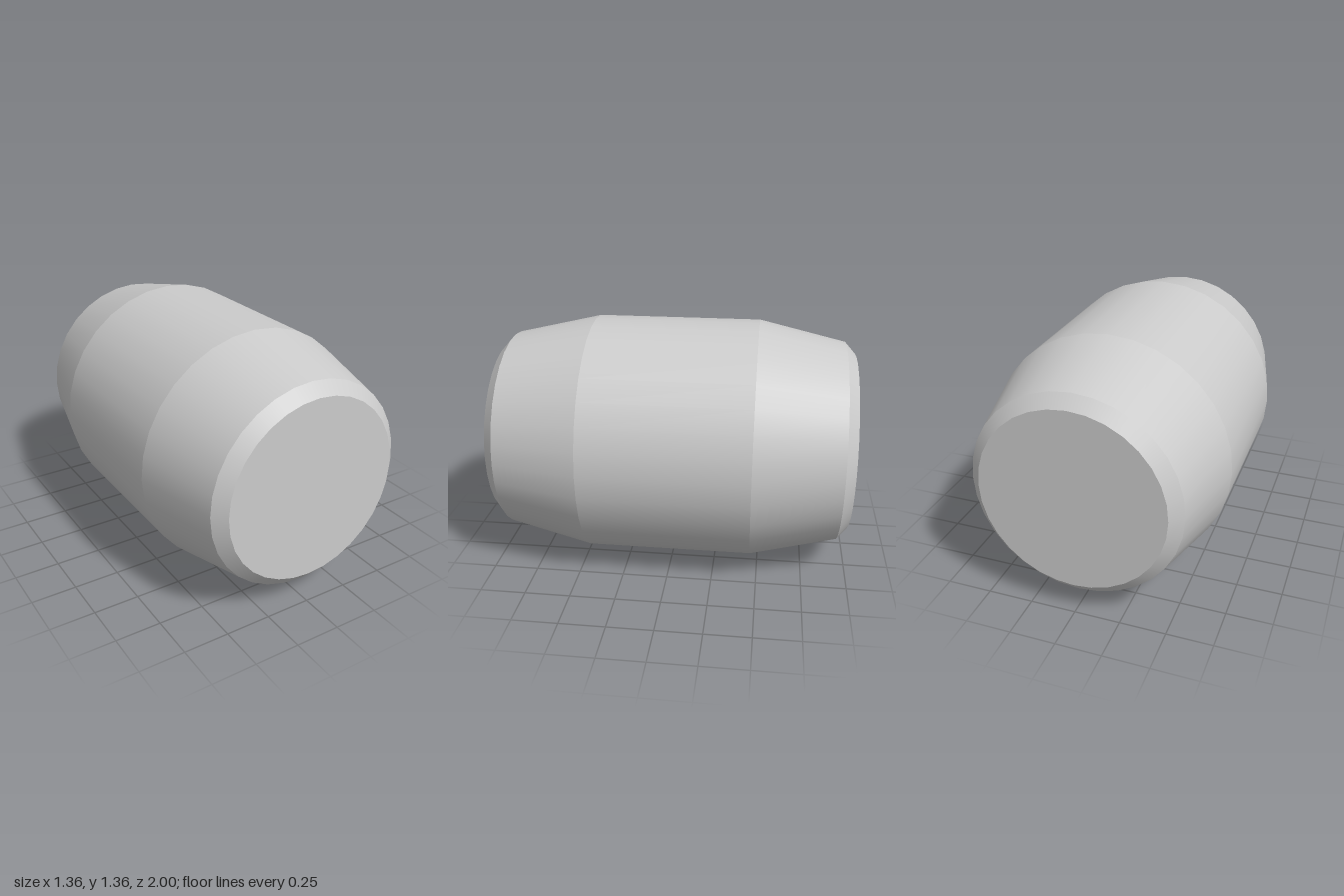
import * as THREE from 'three';

const SIDES = 32;
const RADIUS = 0.678;

export function createModel() {
  const group = new THREE.Group();
  group.name = 'barrel';
  const material = new THREE.MeshStandardMaterial({ color: 0xcccccc });

  // Each band is its own surface of revolution: smooth around, creased between bands
  const addBand = (name, r0, z0, r1, z1) => {
    const geometry = new THREE.LatheGeometry(
      [new THREE.Vector2(r0, z0), new THREE.Vector2(r1, z1)], SIDES);
    geometry.rotateX(Math.PI / 2);
    const mesh = new THREE.Mesh(geometry, material);
    mesh.name = name;
    mesh.position.y = RADIUS;
    group.add(mesh);
  };

  // Flat round end lids
  const addLid = (name, z, turn) => {
    const geometry = new THREE.CircleGeometry(0.502, SIDES);
    geometry.rotateY(turn);
    const mesh = new THREE.Mesh(geometry, material);
    mesh.name = name;
    mesh.position.set(0, RADIUS, z);
    group.add(mesh);
  };

  // Body, from back to front
  addLid('backLid', -1, Math.PI);
  addBand('backRimBevel', 0.502, -1, 0.568, -0.94);
  addBand('backTaper', 0.568, -0.94, RADIUS, -0.46);
  addBand('middleBand', RADIUS, -0.46, RADIUS, 0.46);
  addBand('frontTaper', RADIUS, 0.46, 0.568, 0.94);
  addBand('frontRimBevel', 0.568, 0.94, 0.502, 1);
  addLid('frontLid', 1, 0);

  return group;
}
